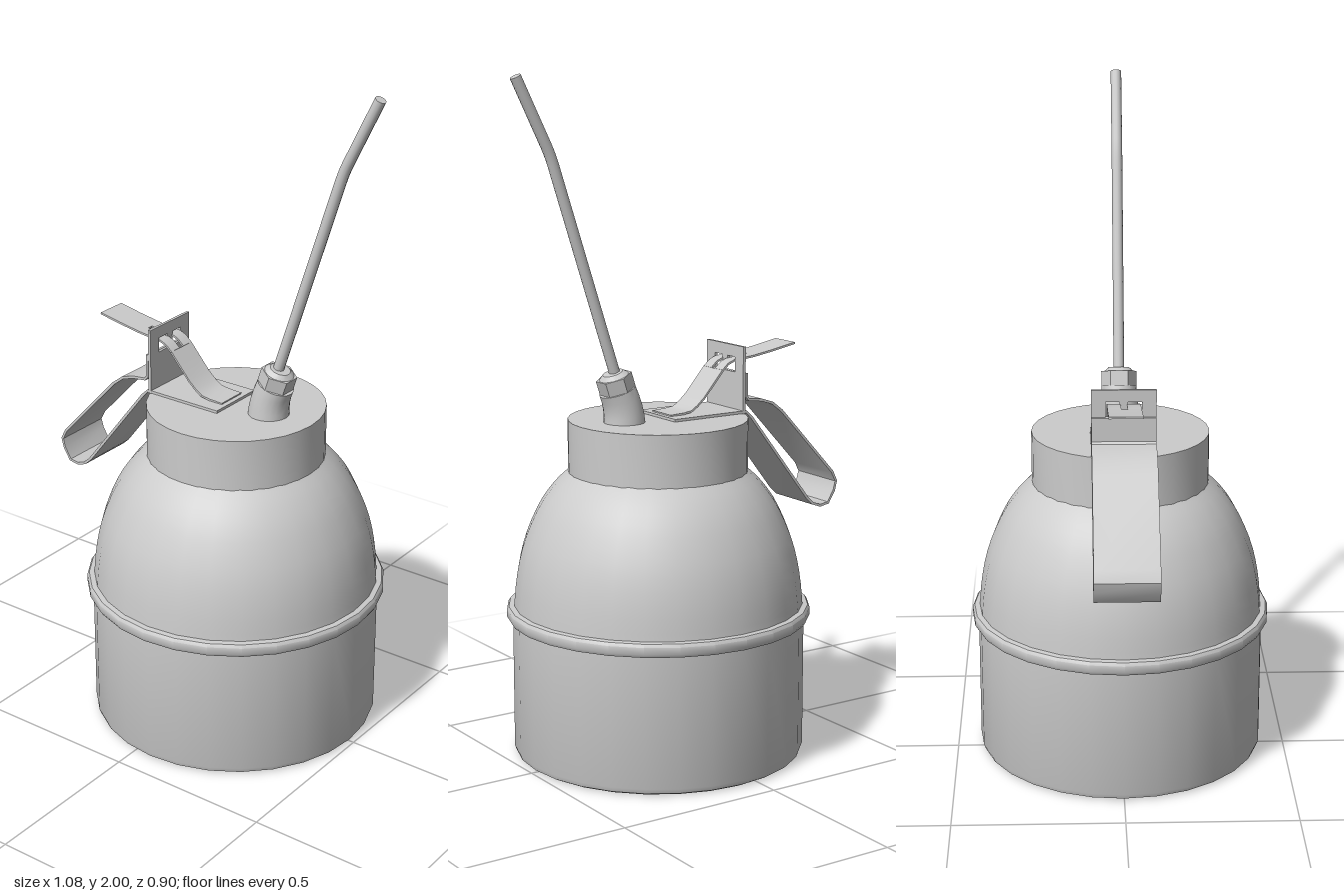
import * as THREE from 'three';
import { toCreasedNormals } from 'three/addons/utils/BufferGeometryUtils.js';

const CX = 0.06; // axis of the can
const V2 = (p) => new THREE.Vector2(p[0], p[1]);

export function createModel() {
  const model = new THREE.Group();
  const material = new THREE.MeshStandardMaterial({ color: 0xcccccc, side: THREE.DoubleSide });

  const add = (name, geometry, x = 0, y = 0, z = 0) => {
    const mesh = new THREE.Mesh(geometry, material);
    mesh.name = name;
    mesh.position.set(x, y, z);
    model.add(mesh);
    return mesh;
  };

  // Revolved part around the can axis, profile from bottom to top
  const turned = (name, profile, segments = 28) =>
    add(name, toCreasedNormals(new THREE.LatheGeometry(profile.map(V2), segments), 0.6), CX);

  // Flat strip: a side profile thickened and extruded across z
  const bentStrip = (path, width, thickness = 0.008) => {
    const pts = path.map(V2);
    const side = (s) => pts.map((p, i) => {
      const a = pts[Math.max(i - 1, 0)], b = pts[Math.min(i + 1, pts.length - 1)];
      const t = b.clone().sub(a).normalize();
      return new THREE.Vector2(p.x - t.y * s, p.y + t.x * s);
    });
    const shape = new THREE.Shape([...side(thickness / 2), ...side(-thickness / 2).reverse()]);
    const g = new THREE.ExtrudeGeometry(shape, { depth: width, bevelEnabled: false });
    g.translate(0, 0, -width / 2);
    return toCreasedNormals(g, 0.6);
  };

  // Can
  turned('canBody', [[0, 0], [0.415, 0], [0.426, 0.006], [0.431, 0.02], [0.431, 0.41]]);
  turned('seamBead', [[0.428, 0.405], [0.443, 0.408], [0.449, 0.418], [0.449, 0.438], [0.443, 0.447], [0.42, 0.45]]);
  const domeCurve = new THREE.SplineCurve([[0.428, 0.44], [0.418, 0.54], [0.395, 0.64],
    [0.352, 0.74], [0.305, 0.807], [0.262, 0.848]].map(V2));
  turned('dome', domeCurve.getPoints(14).map((p) => [p.x, p.y]));
  turned('neckCap', [[0.255, 0.843], [0.264, 0.843], [0.264, 1.0], [0, 1.0]], 32);

  // Grip: base tab on the cap, hanging loop and short upright end
  add('gripLoop', bentStrip([
    [0.06, 1.005], [-0.195, 1.005], [-0.215, 0.985], [-0.425, 0.715], [-0.447, 0.695],
    [-0.475, 0.685], [-0.505, 0.69], [-0.527, 0.725], [-0.535, 0.755], [-0.52, 0.785],
    [-0.325, 0.995], [-0.29, 1.022], [-0.25, 1.035], [-0.205, 1.04], [-0.196, 1.05], [-0.195, 1.12],
  ], 0.185), 0, 0, 0.003);

  // Upright plate with a window for the lever
  const plate = new THREE.Shape([[-0.093, 1.0], [0.093, 1.0], [0.093, 1.2], [-0.093, 1.2]].map(V2));
  plate.holes.push(new THREE.Path([[-0.052, 1.12], [-0.052, 1.165], [-0.012, 1.165], [-0.012, 1.14],
    [0.012, 1.14], [0.012, 1.165], [0.052, 1.165], [0.052, 1.12]].map(V2)));
  const plateMesh = add('leverPlate',
    new THREE.ExtrudeGeometry(plate, { depth: 0.009, bevelEnabled: false }), -0.19, 0, 0.003);
  plateMesh.rotation.y = Math.PI / 2;

  // Thumb lever, split by a slot where it passes the plate
  const front = [[-0.405, 1.187], [-0.33, 1.173], [-0.255, 1.161]];
  const middle = [[-0.255, 1.161], [-0.18, 1.153], [-0.16, 1.145], [-0.14, 1.127]];
  const rear = [[-0.14, 1.127], [-0.108, 1.09], [-0.075, 1.052], [-0.05, 1.03],
    [-0.028, 1.016], [0, 1.012], [0.045, 1.01]];
  add('leverThumbEnd', bentStrip(front, 0.096, 0.006), 0, 0, 0.003);
  for (const s of [-1, 1]) add('leverSlotSide', bentStrip(middle, 0.039, 0.006), 0, 0, 0.003 + s * 0.0285);
  add('leverSpring', bentStrip(rear, 0.096, 0.006), 0, 0, 0.003);

  // Spout base: a short stub bending toward the spout
  const stub = new THREE.CylinderGeometry(0.052, 0.061, 0.1, 20, 4);
  const pos = stub.attributes.position;
  for (let i = 0; i < pos.count; i++) {
    const x = pos.getX(i), t = (pos.getY(i) + 0.05) / 0.1;
    pos.setXY(i, x + 0.024 * t * t, pos.getY(i) - x * 0.32 * t);
  }
  add('spoutBase', toCreasedNormals(stub, 0.6), 0.176, 1.045, 0);

  // Hex nut and collar along the tilted spout axis
  const tilt = -Math.atan2(0.21, 0.64);
  const nutGeometry = new THREE.CylinderGeometry(0.053, 0.053, 0.045, 6).toNonIndexed();
  nutGeometry.computeVertexNormals();
  add('hexNut', nutGeometry, 0.205, 1.115, 0).rotation.z = tilt;
  add('nutCollar', toCreasedNormals(new THREE.CylinderGeometry(0.03, 0.044, 0.012, 20), 0.6),
    0.2135, 1.142, 0).rotation.z = tilt;

  // Spout tube with a slight bend, closed by a tip
  const spout = new THREE.CurvePath();
  const a = new THREE.Vector3(0.2, 1.12, 0), b = new THREE.Vector3(0.405, 1.745, 0);
  const c = new THREE.Vector3(0.43, 1.805, 0), d = new THREE.Vector3(0.522, 1.99, 0);
  spout.add(new THREE.LineCurve3(a, b));
  spout.add(new THREE.QuadraticBezierCurve3(b, new THREE.Vector3(0.416, 1.778, 0), c));
  spout.add(new THREE.LineCurve3(c, d));
  add('spoutTube', new THREE.TubeGeometry(spout, 48, 0.016, 12));
  const tip = add('spoutTip', new THREE.CircleGeometry(0.016, 12), d.x, d.y, d.z);
  tip.lookAt(d.clone().multiplyScalar(2).sub(c));

  return model;
}
